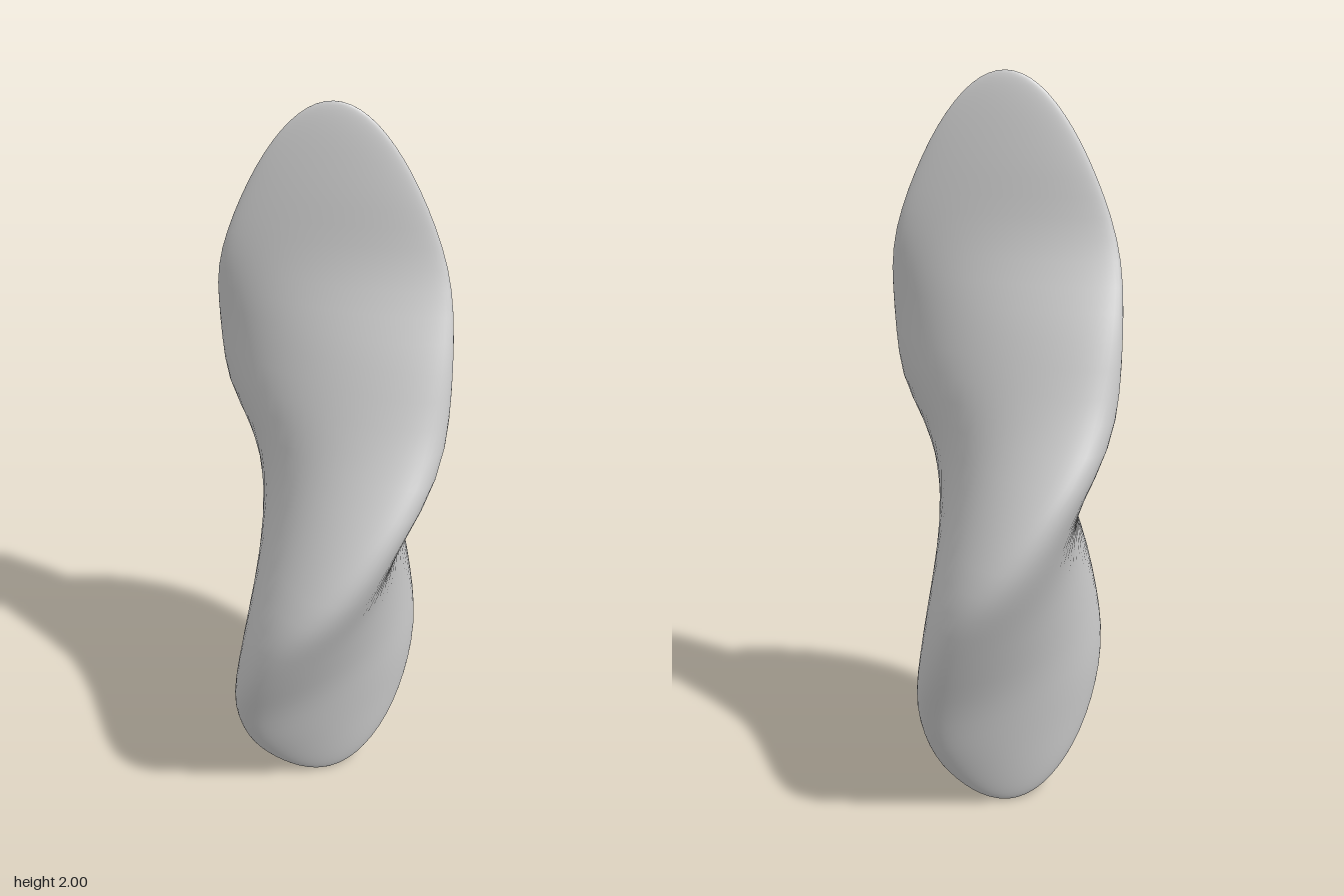
import * as THREE from 'three';
import { mergeVertices } from 'three/addons/utils/BufferGeometryUtils.js';

// Cross-section keys from the top (y = 2) to the bottom (y = 0), evenly spaced in y.
const WIDTH = [0.31, 0.33, 0.344, 0.341, 0.342, 0.374, 0.403, 0.396, 0.395, 0.388, 0.35];
const THICKNESS = [0.045, 0.042, 0.046, 0.098, 0.143, 0.165, 0.184, 0.18, 0.15, 0.115, 0.08];
const TWIST = [-2, 0, 4, 18, 33, 64, 89, 110, 129, 141, 155]; // degrees about y

const sections = new THREE.CatmullRomCurve3(
  WIDTH.map((w, i) => new THREE.Vector3(w, THICKNESS[i], THREE.MathUtils.degToRad(TWIST[i]))),
  false, 'catmullrom', 0.5
);

// Flattened ellipsoid whose elliptical slices turn as they descend.
function twistedLobe() {
  const sphere = new THREE.SphereGeometry(1, 64, 48);
  sphere.deleteAttribute('uv');
  sphere.deleteAttribute('normal');
  const geometry = mergeVertices(sphere, 1e-5);
  const pos = geometry.attributes.position;
  const p = new THREE.Vector3();
  for (let i = 0; i < pos.count; i++) {
    p.fromBufferAttribute(pos, i);
    const down = THREE.MathUtils.clamp((1 - p.y) / 2, 0, 1);
    const s = sections.getPoint(down);
    const u = p.x * s.x;
    const v = p.z * s.y;
    const cos = Math.cos(s.z);
    const sin = Math.sin(s.z);
    // the axis drifts slightly on its way down
    const driftX = -0.015 * THREE.MathUtils.smoothstep(down, 0.4, 0.8);
    const driftZ = -0.014 + 0.022 * THREE.MathUtils.smoothstep(down, 0.3, 0.8);
    pos.setXYZ(i, u * cos - v * sin + driftX, p.y + 1, u * sin + v * cos + driftZ);
  }
  geometry.computeVertexNormals();
  return geometry;
}

export function createModel() {
  const group = new THREE.Group();
  group.name = 'twistedSculpture';
  const body = new THREE.Mesh(twistedLobe(), new THREE.MeshStandardMaterial({ color: 0xcccccc }));
  body.name = 'twistedBody';
  group.add(body);
  return group;
}
